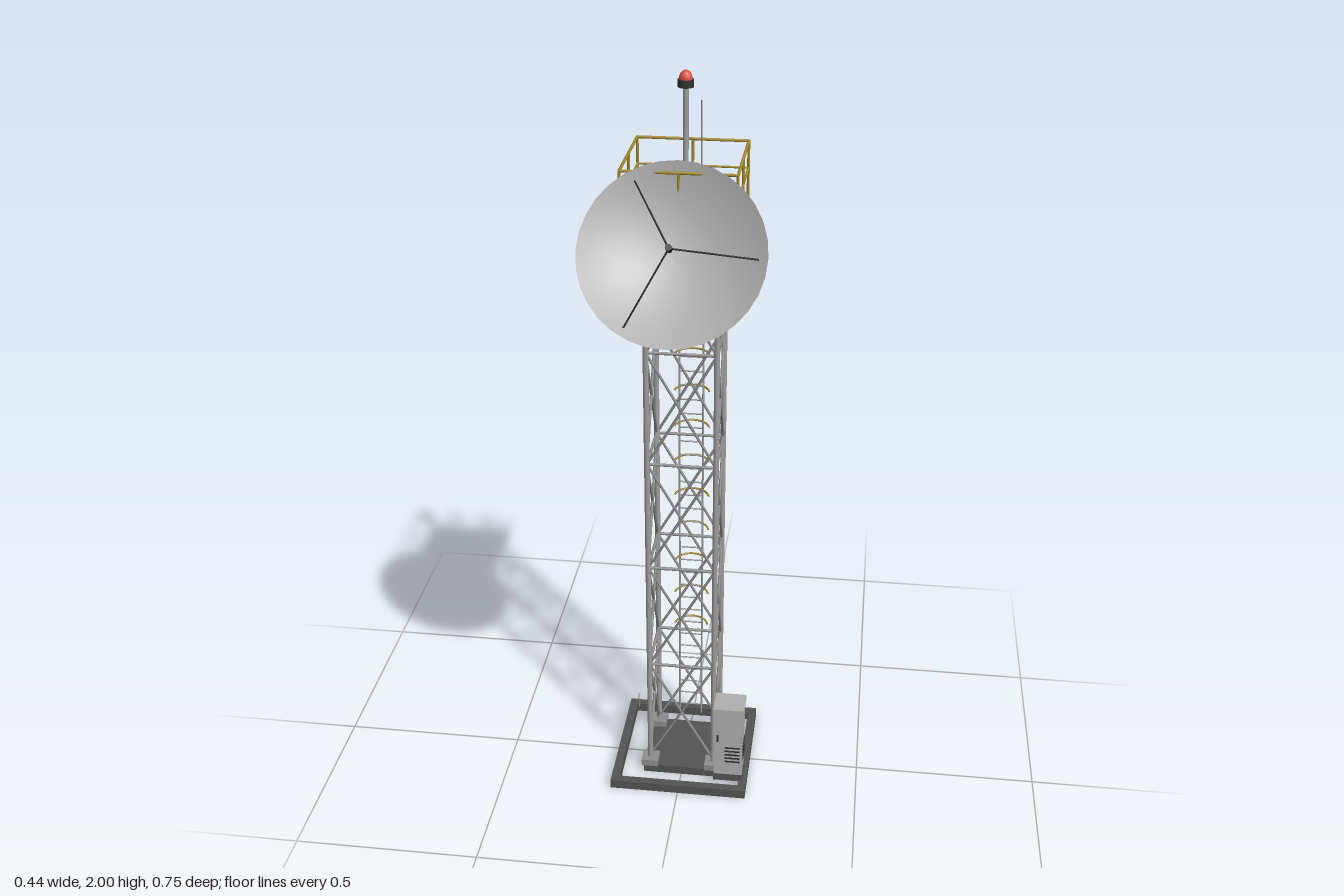
import * as THREE from 'three';

const mat = (name, color, side = THREE.FrontSide) => {
  const m = new THREE.MeshStandardMaterial({ color, side });
  m.name = name;
  return m;
};

export function createModel() {
  const steel = mat('galvanised steel', 0x9e9e9e);
  const brace = mat('brace steel', 0x8e8e8e);
  const concrete = mat('dark concrete', 0x545454);
  const deckGrey = mat('deck grey', 0xb0b0b0);
  const yellow = mat('safety yellow', 0xa5882c);
  const dishGrey = mat('dish grey', 0xb0b0b0, THREE.DoubleSide);
  const cabinetGrey = mat('cabinet grey', 0xb0b0b0);
  const dark = mat('dark metal', 0x303030);
  const red = mat('beacon red', 0xd94f40);

  const model = new THREE.Group();
  model.name = 'radioTower';
  const V = (x, y, z) => new THREE.Vector3(x, y, z);
  const add = (parent, name, geo, material, x = 0, y = 0, z = 0) => {
    const m = new THREE.Mesh(geo, material);
    m.name = name;
    m.position.set(x, y, z);
    parent.add(m);
    return m;
  };
  const box = (p, name, w, h, d, material, x, y, z) =>
    add(p, name, new THREE.BoxGeometry(w, h, d), material, x, y, z);
  // Round bar between two points
  const rod = (p, name, a, b, r, material, sides = 8) => {
    const dir = b.clone().sub(a);
    const mid = a.clone().add(b).multiplyScalar(0.5);
    const m = add(p, name, new THREE.CylinderGeometry(r, r, dir.length(), sides), material, mid.x, mid.y, mid.z);
    m.quaternion.setFromUnitVectors(V(0, 1, 0), dir.normalize());
    return m;
  };
  const group = (name, x = 0, y = 0, z = 0) => {
    const g = new THREE.Group();
    g.name = name;
    g.position.set(x, y, z);
    model.add(g);
    return g;
  };
  const corners = [[1, 1], [1, -1], [-1, -1], [-1, 1]];
  const Z0 = -0.016; // tower axis

  // Foundation: outer frame, inner slab, ground rod
  const base = group('foundation', 0, 0, Z0);
  for (const s of [1, -1]) {
    box(base, 'frameBeam', 0.382, 0.026, 0.023, concrete, 0, 0.013, s * 0.1795);
    box(base, 'frameBeam', 0.023, 0.026, 0.336, concrete, s * 0.1795, 0.013, 0);
  }
  box(base, 'slab', 0.215, 0.025, 0.215, concrete, 0, 0.0125, 0);
  rod(base, 'groundRod', V(-0.163, 0.02, -0.163), V(-0.163, 0.07, -0.163), 0.0018, brace);

  // Lattice tower
  const tower = group('latticeTower', 0, 0, Z0);
  const L = 0.09, Y0 = 0.05, BAY = 0.316;
  corners.forEach(([sx, sz], i) => {
    const [tx, tz] = corners[(i + 1) % 4];
    const a = y => V(sx * L, y, sz * L), b = y => V(tx * L, y, tz * L);
    rod(tower, 'leg', a(0.03), a(1.64), 0.0075, steel, 10);
    box(tower, 'footPad', 0.046, 0.02, 0.046, brace, sx * L, 0.034, sz * L);
    for (let k = 0; k < 5; k++) {
      const lo = Y0 + k * BAY, hi = lo + BAY;
      rod(tower, 'crossBrace', a(lo), b(hi), 0.0038, brace);
      rod(tower, 'crossBrace', b(lo), a(hi), 0.0038, brace);
      rod(tower, 'horizontalBrace', a(hi), b(hi), 0.0042, brace);
    }
  });

  // Platform and guard rail
  const platform = group('platform', 0, 0, Z0);
  const P = 0.139;
  box(platform, 'deck', 0.276, 0.014, 0.276, deckGrey, 0, 1.645, 0);
  corners.forEach(([sx, sz], i) => {
    const [tx, tz] = corners[(i + 1) % 4];
    const a = y => V(sx * P, y, sz * P), b = y => V(tx * P, y, tz * P);
    const m = y => a(y).add(b(y)).multiplyScalar(0.5);
    const alongX = sz === tz;
    box(platform, 'toeBoard', alongX ? 0.284 : 0.006, 0.019, alongX ? 0.006 : 0.284, yellow,
      m(0).x, 1.6475, m(0).z);
    rod(platform, 'cornerPost', a(1.65), a(1.795), 0.0035, yellow);
    rod(platform, 'middlePost', m(1.65), m(1.795), 0.0035, yellow);
    rod(platform, 'topRail', a(1.795), b(1.795), 0.0038, yellow);
    rod(platform, 'middleRail', a(1.727), b(1.727), 0.003, yellow);
  });

  // Mast, beacon and whip antenna
  const mast = group('mast', 0, 0, Z0);
  rod(mast, 'mastPole', V(0, 1.65, 0), V(0, 1.965, 0), 0.007, steel, 12);
  rod(mast, 'beaconBase', V(0, 1.96, 0), V(0, 1.978, 0), 0.0195, dark, 16);
  const lamp = add(mast, 'beaconLamp',
    new THREE.SphereGeometry(0.0165, 16, 8, 0, Math.PI * 2, 0, Math.PI / 2), red, 0, 1.978, 0);
  lamp.scale.y = 1.33;
  rod(mast, 'whipAntenna', V(0.038, 1.65, 0), V(0.038, 1.93, 0), 0.002, brace, 6);

  // Ladder with safety hoops
  const ladder = group('ladder', 0, 0, -0.135);
  for (const s of [1, -1])
    rod(ladder, 'ladderRail', V(s * 0.032, 0.05, 0), V(s * 0.032, 1.64, 0), 0.003, steel, 6);
  for (let y = 0.08; y < 1.63; y += 0.042)
    rod(ladder, 'rung', V(-0.032, y, 0), V(0.032, y, 0), 0.002, steel, 6);
  for (let k = 0; k < 12; k++) {
    const hoop = add(ladder, 'safetyHoop', new THREE.TorusGeometry(0.047, 0.0028, 8, 20, Math.PI),
      yellow, 0, 0.36 + k * 0.107, -0.005);
    hoop.rotation.x = -Math.PI / 2;
  }

  // Directional aerial on the back
  const aerial = group('directionalAerial');
  rod(aerial, 'boom', V(0, 1.42, -0.1), V(0, 1.437, -0.378), 0.0024, brace);
  rod(aerial, 'mountBar', V(-0.05, 1.42, -0.106), V(0.05, 1.42, -0.106), 0.004, brace);
  for (let k = 0; k < 6; k++) {
    const z = -0.36 + k * 0.038, y = 1.436 - k * 0.0024, h = 0.023 + k * 0.003;
    rod(aerial, 'aerialElement', V(-h, y, z), V(h, y, z), 0.0016, brace, 6);
  }

  // Dish: local y is the pointing axis, origin at the rim centre
  const dish = group('dishAntenna', 0, 1.643, 0.248);
  dish.rotation.x = 0.961;
  const R = 0.2225, DEPTH = 0.077;
  const bowlY = r => DEPTH * ((r / R) ** 2 - 1);
  const profile = [];
  for (let i = 0; i <= 10; i++) profile.push(new THREE.Vector2(R * i / 10, bowlY(R * i / 10)));
  add(dish, 'reflector', new THREE.LatheGeometry(profile, 32), dishGrey);
  for (let k = 0; k < 3; k++) {
    const a = k * Math.PI * 2 / 3;
    rod(dish, 'feedStrut', V(0.2 * Math.cos(a), bowlY(0.2), 0.2 * Math.sin(a)), V(0, 0.052, 0), 0.0022, dark, 6);
  }
  rod(dish, 'feedHorn', V(0, 0.042, 0), V(0, 0.062, 0), 0.008, dark, 12);
  rod(dish, 'hub', V(0, -0.128, 0), V(0, -0.079, 0), 0.027, steel, 16);

  // Dish bracket tied to the front legs
  const bracket = group('dishBracket');
  rod(bracket, 'bracketArm', V(0, 1.575, 0.15), V(0, 1.568, 0.104), 0.007, steel);
  rod(bracket, 'bracketBar', V(-0.054, 1.568, 0.104), V(0.054, 1.568, 0.104), 0.0045, steel);
  for (const s of [1, -1])
    rod(bracket, 'bracketStay', V(s * 0.03, 1.63, 0.12), V(s * L, 1.465, 0.078), 0.0045, steel);

  // Equipment cabinet
  const cabinet = group('equipmentCabinet', 0.138, 0, 0.094);
  box(cabinet, 'plinth', 0.082, 0.022, 0.072, concrete, 0, 0.033, 0);
  box(cabinet, 'body', 0.08, 0.222, 0.07, cabinetGrey, 0, 0.151, 0);
  box(cabinet, 'roof', 0.086, 0.01, 0.077, cabinetGrey, 0, 0.266, 0);
  box(cabinet, 'handle', 0.005, 0.022, 0.005, dark, -0.03, 0.17, 0.0365);
  for (let k = 0; k < 5; k++) {
    const y = 0.09 + k * 0.012;
    box(cabinet, 'frontLouvre', 0.042, 0.004, 0.003, dark, 0.012, y, 0.0355);
    box(cabinet, 'sideLouvre', 0.003, 0.004, 0.046, dark, 0.0405, y, 0);
  }

  return model;
}
